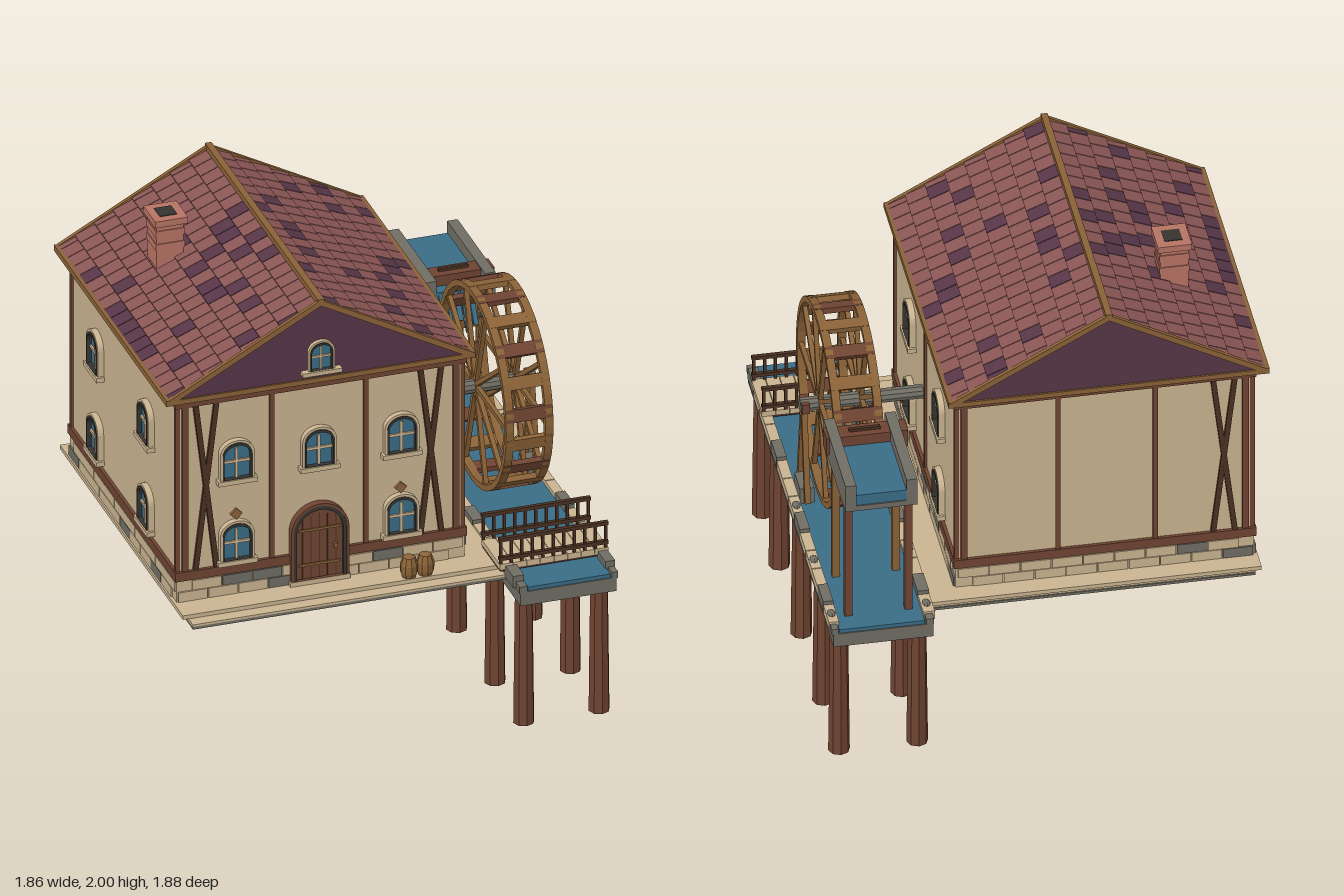
import * as THREE from 'three';
import { mergeGeometries } from 'three/addons/utils/BufferGeometryUtils.js';

const mat = (name, color) => new THREE.MeshStandardMaterial({ name, color, flatShading: true });

export function createModel() {
  const M = {
    plaster: mat('plaster', 0xcab490), tile: mat('roofTile', 0x8a5655), purple: mat('darkTile', 0x573647),
    brick: mat('brick', 0xb87464), wood: mat('darkWood', 0x6f4432), timber: mat('timber', 0x8a6237),
    brace: mat('braceWood', 0x4a3122), water: mat('water', 0x396d87), stone: mat('stone', 0x6f6d64), iron: mat('iron', 0x353431),
  };
  const root = new THREE.Group();
  root.name = 'watermill';
  let seed = 7;
  const rnd = () => (seed = (seed * 16807) % 2147483647) / 2147483647;
  const group = (name, parent = root) => { const g = new THREE.Group(); g.name = name; parent.add(g); return g; };
  const add = (name, geo, m, p = root) => { const o = new THREE.Mesh(geo, m); o.name = name; p.add(o); return o; };
  // Box given by its min and max on each axis
  const box = (name, m, x0, x1, y0, y1, z0, z1, p = root) => {
    const o = add(name, new THREE.BoxGeometry(x1 - x0, y1 - y0, z1 - z0), m, p);
    o.position.set((x0 + x1) / 2, (y0 + y1) / 2, (z0 + z1) / 2);
    return o;
  };
  // Square beam from point a to point b
  const beam = (name, m, a, b, w, d = w, p = root) => {
    const A = new THREE.Vector3(...a), B = new THREE.Vector3(...b), dir = B.clone().sub(A);
    const o = add(name, new THREE.BoxGeometry(w, dir.length(), d), m, p);
    o.position.copy(A).lerp(B, 0.5);
    o.quaternion.setFromUnitVectors(new THREE.Vector3(0, 1, 0), dir.normalize());
    return o;
  };
  // Arched outline standing on y = y0
  const arch = (w, h, rise, y0 = 0, Type = THREE.Shape) => {
    const s = new Type();
    s.moveTo(-w / 2, y0); s.lineTo(w / 2, y0); s.lineTo(w / 2, h - rise);
    s.absellipse(0, h - rise, w / 2, rise, 0, Math.PI, false);
    s.lineTo(-w / 2, y0);
    return s;
  };
  const extrude = (s, depth, seg = 8) => new THREE.ExtrudeGeometry(s, { depth, bevelEnabled: false, curveSegments: seg });

  // Ground slabs
  box('underside', M.stone, -0.865, 0.5, 0.64, 0.652, -0.83, 0.785);
  box('lowerSlab', M.plaster, -0.865, 0.5, 0.652, 0.662, -0.825, 0.785);
  box('upperSlab', M.plaster, -0.89, 0.5, 0.662, 0.68, -0.83, 0.73);

  // House walls and foundation
  const X0 = -0.87, X1 = 0.36, Z0 = -0.735, Z1 = 0.605, MX = -0.265;
  const house = group('house');
  box('walls', M.plaster, X0, X1, 0.68, 1.62, Z0, Z1, house);
  box('foundation', M.plaster, X0 - 0.006, X1 + 0.006, 0.68, 0.775, Z0 - 0.006, Z1 + 0.006, house);
  for (let row = 0; row < 2; row++) for (let i = 0; i < 10; i++) {
    const y = 0.682 + row * 0.047, s = 0.13, o = i * s + row * 0.06;
    const stone = () => (rnd() < 0.3 ? M.stone : M.plaster);
    for (const z of [Z0 - 0.01, Z1 + 0.01]) if (X0 + o + s < X1 + 0.02) box('foundationStone', stone(), X0 + o, X0 + o + s - 0.005, y, y + 0.044, z - 0.004, z + 0.004, house);
    for (const x of [X0 - 0.01, X1 + 0.01]) box('foundationStone', stone(), x - 0.004, x + 0.004, y, y + 0.044, Z0 + o, Math.min(Z1, Z0 + o + s - 0.005), house);
  }

  // Timber frame
  for (const [y0, y1] of [[0.777, 0.818], [1.578, 1.625]])
    box('beltBeam', M.wood, X0 - 0.014, X1 + 0.014, y0, y1, Z0 - 0.014, Z1 + 0.014, house);
  for (const x of [X0, X1]) for (const z of [Z0, Z1]) {
    const ix = x < 0 ? x + 0.03 : x - 0.03;
    box('cornerPost', M.wood, ix - 0.013, ix + 0.013, 0.81, 1.58, z - 0.01, z + 0.01, house);
    const iz = z < 0 ? z + 0.008 : z - 0.008;
    box('cornerPost', M.wood, x - 0.01, x + 0.01, 0.81, 1.58, iz - 0.009, iz + 0.009, house);
  }
  for (const z of [Z0, Z1]) for (const x of [-0.465, -0.06])
    box('wallPost', M.wood, x - 0.01, x + 0.01, 0.81, 1.58, z - 0.01, z + 0.01, house);
  box('wallPost', M.wood, X1 - 0.01, X1 + 0.01, 0.81, 1.58, -0.085, -0.065, house);
  for (const [x, z] of [[-0.75, Z1 + 0.006], [0.22, Z1 + 0.006], [-0.75, Z0 - 0.006]]) for (const s of [-1, 1])
    beam('crossBrace', M.brace, [x + s * 0.045, 0.82, z], [x - s * 0.045, 1.578, z + s * 0.002], 0.022, 0.016, house);

  // Windows: glass, surround, dark rim, glazing bars and sill
  const windowAt = (x, y, z, ry, k = 1) => {
    const g = group('window', house);
    g.position.set(x, y, z); g.rotation.y = ry; g.scale.set(k, k, 1);
    const ring = arch(0.148, 0.19, 0.062);
    ring.holes.push(arch(0.128, 0.18, 0.056, 0.012, THREE.Path));
    add('surround', extrude(ring, 0.026), M.plaster, g);
    const rim = arch(0.128, 0.18, 0.056, 0.012);
    rim.holes.push(arch(0.114, 0.168, 0.05, 0.015, THREE.Path));
    add('windowRim', extrude(rim, 0.03), M.iron, g);
    add('glass', extrude(arch(0.118, 0.172, 0.05, 0.013), 0.008), M.water, g);
    box('mullion', M.plaster, -0.006, 0.006, 0.012, 0.15, 0, 0.016, g);
    box('transom', M.plaster, -0.057, 0.057, 0.084, 0.096, 0, 0.016, g);
    box('sill', M.plaster, -0.085, 0.085, -0.008, 0.013, 0, 0.036, g);
  };
  for (const x of [-0.62, MX, 0.09]) windowAt(x, 1.206, Z1, 0);
  for (const x of [-0.62, 0.09]) {
    windowAt(x, 0.832, Z1, 0);
    const d = add('diamondOrnament', new THREE.BoxGeometry(0.036, 0.036, 0.014), M.timber, house);
    d.position.set(x, 1.048, Z1 + 0.006); d.rotation.z = Math.PI / 4;
  }
  for (const y of [0.845, 1.235]) for (const z of [0.235, -0.405]) {
    windowAt(X1, y, z, Math.PI / 2);
    windowAt(X0, y, z, -Math.PI / 2);
  }
  windowAt(MX, 1.664, 0.63, 0, 0.76);
  box('atticSill', M.plaster, MX - 0.085, MX + 0.085, 1.657, 1.675, 0.62, 0.668, house);

  // Arched door
  const door = group('door', house);
  door.position.set(MX, 0.7, Z1);
  const doorRing = (name, m, w0, h0, w1, h1, depth) => {
    const s = arch(w0, h0, w0 / 2);
    s.holes.push(arch(w1, h1, w1 / 2, 0.001, THREE.Path));
    add(name, extrude(s, depth, 10), m, door);
  };
  doorRing('doorFrame', M.wood, 0.25, 0.345, 0.228, 0.333, 0.034);
  doorRing('doorRim', M.iron, 0.228, 0.333, 0.2, 0.315, 0.03);
  add('doorLeaf', extrude(arch(0.208, 0.32, 0.104), 0.018, 10), M.wood, door);
  for (let i = -2; i <= 2; i++) box('plankGap', M.brace, i * 0.036 - 0.002, i * 0.036 + 0.002, 0.005, 0.3 - Math.abs(i) * 0.012, 0.014, 0.021, door);
  for (const y of [0.06, 0.22]) box('strapHinge', M.timber, -0.09, 0.09, y, y + 0.01, 0.015, 0.024, door);
  box('doorHandle', M.timber, 0.06, 0.075, 0.13, 0.15, 0.015, 0.035, door);
  box('doorStep', M.plaster, MX - 0.13, MX + 0.13, 0.675, 0.7, Z1, Z1 + 0.035, house);

  // Roof body
  const roof = group('roof'), RZ0 = -0.775, RZ1 = 0.638, EX = 0.655, EY = 1.625, RY = 1.975;
  const tri = new THREE.Shape([[MX - EX, EY], [MX + EX, EY], [MX, RY]].map(p => new THREE.Vector2(...p)));
  add('roofBody', extrude(tri, RZ1 - RZ0), M.purple, roof).position.z = RZ0;
  // Overlapping tiles laid from the ridge outward, a few of them dark
  const tiles = { tile: [], purple: [] }, rows = 8, cols = 18, ang = Math.atan2(RY - EY, EX), L = Math.hypot(EX, RY - EY);
  const w = (RZ1 - RZ0) / cols;
  for (const s of [-1, 1]) for (let r = 0; r < rows; r++) for (let c = 0; c <= cols; c++) {
    const shift = (r % 2) / 2;
    const z0 = Math.max(RZ0, RZ0 + (c - shift) * w), z1 = Math.min(RZ1, RZ0 + (c + 1 - shift) * w);
    if (z1 - z0 < 0.01) continue;
    const g = new THREE.BoxGeometry(L / rows * 1.1, 0.01, z1 - z0 - 0.004);
    g.rotateZ(0.1).translate((r + 0.5) * L / rows, 0.002, (z0 + z1) / 2);
    g.rotateZ(-ang).translate(0, RY, 0);
    if (s < 0) g.rotateY(Math.PI).translate(0, 0, RZ0 + RZ1);
    g.translate(MX, 0, 0);
    tiles[rnd() < 0.14 ? 'purple' : 'tile'].push(g);
  }
  for (const k of ['tile', 'purple']) add(k + 'Rows', mergeGeometries(tiles[k]), M[k], roof);
  box('ridgeBeam', M.timber, MX - 0.014, MX + 0.014, RY - 0.005, RY + 0.022, RZ0 - 0.01, RZ1 + 0.01, roof);
  for (const s of [-1, 1]) {
    const x = MX + s * EX;
    box('eaveBeam', M.timber, x - 0.012, x + 0.012, EY - 0.012, EY + 0.014, RZ0 - 0.008, RZ1 + 0.008, roof);
    for (const z of [RZ0, RZ1]) beam('gableTrim', M.timber, [x, EY, z], [MX, RY + 0.005, z], 0.024, 0.018, roof);
  }
  for (const z of [RZ0, RZ1]) box('gableBase', M.timber, MX - EX, MX + EX, EY - 0.012, EY + 0.01, z - 0.008, z + 0.008, roof);

  // Chimney
  const chimney = group('chimney');
  box('chimneyShaft', M.brick, -0.678, -0.562, 1.7, 1.975, -0.34, -0.225, chimney);
  for (const y of [1.85, 1.91]) box('brickCourse', M.brick, -0.682, -0.558, y, y + 0.03, -0.344, -0.221, chimney);
  box('chimneyCap', M.brick, -0.69, -0.548, 1.965, 1.994, -0.358, -0.207, chimney);
  box('flueOpening', M.iron, -0.657, -0.583, 1.99, 1.997, -0.32, -0.245, chimney);

  // Mill race on pilings
  const race = group('millRace');
  box('raceBed', M.stone, 0.495, 0.91, 0.592, 0.655, -0.94, 0.94, race);
  box('raceWater', M.water, 0.53, 0.885, 0.655, 0.672, -0.935, 0.935, race);
  for (const [x0, x1] of [[0.482, 0.53], [0.88, 0.922]]) {
    for (let i = 0; i < 14; i++) {
      const z = -0.84 + i * 0.128, slab = i % 4 === 1;
      box('curbStone', slab ? M.stone : M.plaster, x0, x1, 0.65, slab ? 0.704 : 0.69, z - 0.0615, z + 0.0615, race);
      if (i % 3 || slab) continue;
      const o = add('roundStone', new THREE.SphereGeometry(0.02, 8, 6), M.stone, race);
      o.position.set((x0 + x1) / 2, 0.687, z); o.scale.set(0.9, 0.8, 1.4);
    }
    for (const s of [-1, 1]) box('curbEnd', M.stone, x0 + 0.01, x1 - 0.005, 0.65, 0.68, s * 0.915 - 0.025, s * 0.915 + 0.025, race);
  }
  for (const x of [0.543, 0.868]) for (const z of [0.84, 0.475, -0.01, -0.485, -0.835])
    add('piling', new THREE.CylinderGeometry(0.038, 0.045, 0.6, 8), M.wood, race).position.set(x, 0.3, z);

  // Footbridge with railings
  const bridge = group('footbridge');
  for (let i = 0; i < 8; i++) box('plank', M.plaster, 0.457 + i * 0.0588, 0.5135 + i * 0.0588, 0.69, 0.715, 0.56, 0.79, bridge);
  box('bridgeBearer', M.brace, 0.46, 0.92, 0.68, 0.695, 0.565, 0.785, bridge);
  for (const z of [0.562, 0.785]) {
    for (const y of [0.733, 0.82]) box('rail', M.brace, 0.455, 0.925, y, y + 0.016, z - 0.009, z + 0.009, bridge);
    for (let i = 0; i < 11; i++) box('baluster', M.brace, 0.457 + i * 0.0453, 0.469 + i * 0.0453, 0.715, 0.83, z - 0.006, z + 0.006, bridge);
  }

  // Water wheel turning about x
  const wheel = group('waterWheel');
  wheel.position.set(0.7, 1.13, 0.02);
  for (const s of [-1, 1]) {
    const ring = new THREE.Shape().absarc(0, 0, 0.438, 0, Math.PI * 2);
    ring.holes.push(new THREE.Path().absarc(0, 0, 0.412, 0, Math.PI * 2, true));
    const rim = add('wheelRim', extrude(ring, 0.034, 20), M.timber, wheel);
    rim.rotation.y = Math.PI / 2; rim.position.x = s * 0.085 - 0.017;
    for (let i = 0; i < 10; i++) {
      const a = i * Math.PI / 5;
      beam('spoke', M.timber, [s * 0.085, 0, 0], [s * 0.085, Math.sin(a) * 0.415, Math.cos(a) * 0.415], 0.02, 0.02, wheel);
    }
  }
  for (let i = 0; i < 20; i++) {
    const a = (i + 0.5) * Math.PI / 10;
    const o = add('paddle', new THREE.BoxGeometry(0.2, 0.024, 0.055), i % 2 ? M.timber : M.wood, wheel);
    o.position.set(0, Math.cos(a) * 0.425, Math.sin(a) * 0.425); o.rotation.x = a;
  }
  const axle = add('axle', new THREE.CylinderGeometry(0.031, 0.031, 0.52, 10), M.stone);
  axle.rotation.z = Math.PI / 2; axle.position.set(0.61, 1.127, 0.02);
  const support = group('axleSupport');
  for (const s of [-1, 1]) beam('supportLeg', M.timber, [0.853, 1.14, 0.02], [0.853, 0.69, 0.02 + s * 0.085], 0.024, 0.024, support);
  box('bearing', M.wood, 0.835, 0.866, 1.105, 1.15, -0.02, 0.06, support);
  box('supportFoot', M.stone, 0.82, 0.88, 0.66, 0.745, -0.04, 0.08, support);

  // Raised flume feeding the wheel
  const flume = group('flume');
  box('flumeFloor', M.stone, 0.56, 0.855, 1.25, 1.275, -0.92, -0.44, flume);
  for (const x of [0.558, 0.812]) box('flumeSide', M.stone, x, x + 0.045, 1.25, 1.378, -0.92, -0.44, flume);
  box('flumeWater', M.water, 0.6, 0.815, 1.27, 1.325, -0.915, -0.437, flume);
  box('sluiceBeam', M.wood, 0.53, 0.87, 1.29, 1.372, -0.57, -0.49, flume);
  box('sluiceHandle', M.brace, 0.64, 0.77, 1.37, 1.385, -0.54, -0.525, flume);
  box('sluiceGate', M.wood, 0.62, 0.79, 1.13, 1.25, -0.52, -0.505, flume);
  for (const x of [0.58, 0.83]) {
    box('flumePost', M.wood, x - 0.016, x + 0.016, 0.66, 1.25, -0.846, -0.814, flume);
    box('flumePost', M.timber, x - 0.016, x + 0.016, 0.66, 1.25, -0.57, -0.54, flume);
    box('postCap', M.timber, x - 0.024, x + 0.024, 1.25, 1.29, -0.58, -0.51, flume);
  }
  for (let i = 0; i < 6; i++) beam('fallingWater', M.water, [0.62 + i * 0.032, 1.315, -0.44], [0.62 + i * 0.032, 1.16 + (i % 3) * 0.03, -0.365], 0.02, 0.012, flume);

  // Grain sacks by the door
  const profile = [[0, 0], [0.026, 0], [0.037, 0.03], [0.038, 0.065], [0.026, 0.1], [0.012, 0.108], [0, 0.108]].map(p => new THREE.Vector2(...p));
  for (const x of [0.096, 0.166]) add('grainSack', new THREE.LatheGeometry(profile, 9), M.timber).position.set(x, 0.67, 0.7);

  return root;
}
